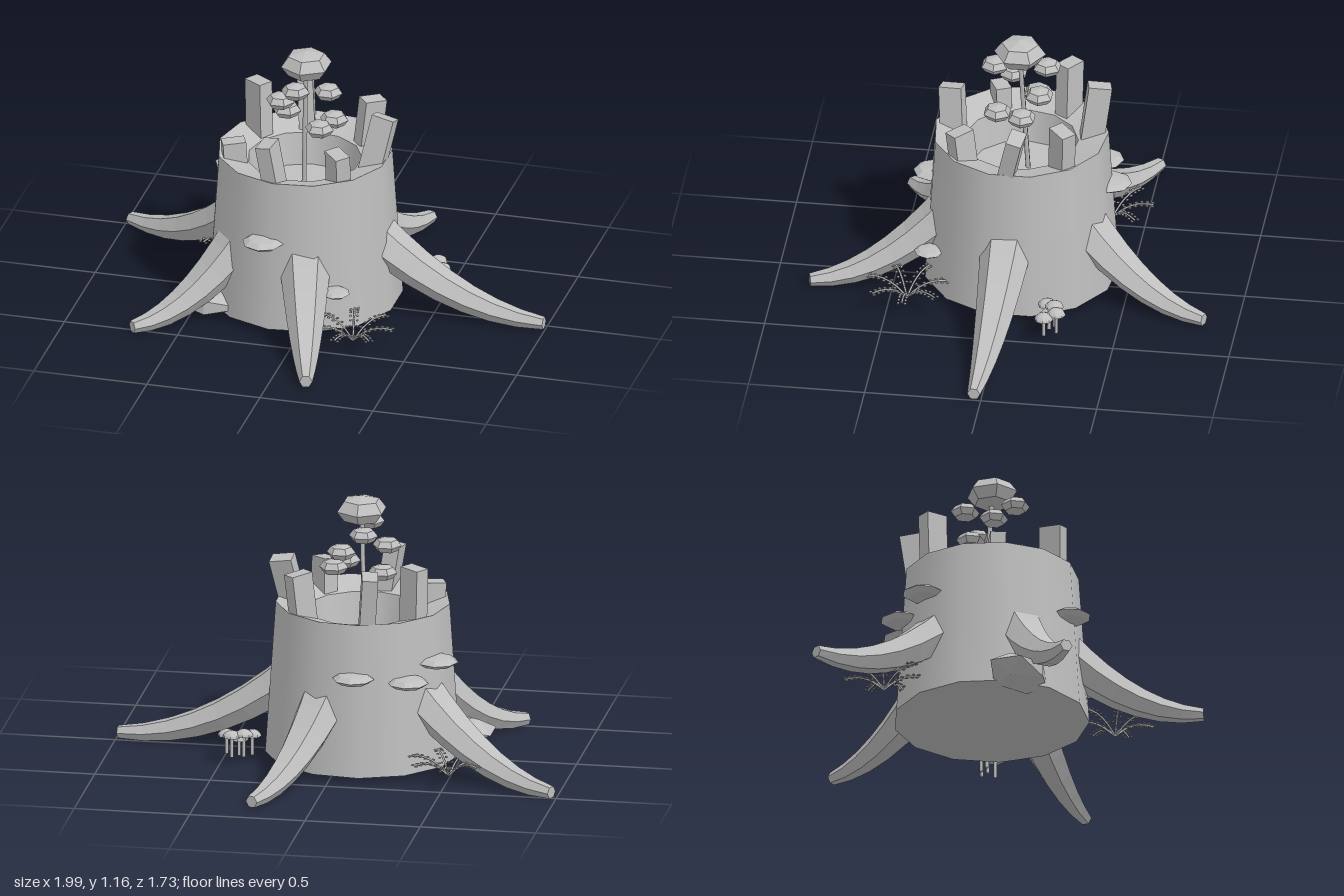
import * as THREE from 'three';

const CX = -0.08, CZ = -0.025; // stump axis
const rad = THREE.MathUtils.degToRad;

// faceted normals
function facet(geo) {
  const g = geo.index ? geo.toNonIndexed() : geo;
  g.computeVertexNormals();
  return g;
}

// hexagonal root running along local +x, curving down to the ground
function rootGeometry(length) {
  const pos = [], idx = [], steps = 7, start = 0.28, span = length - start;
  for (let i = 0; i <= steps; i++) {
    const s = i / steps, slope = -0.68 * (1 - s) / span;
    const n = new THREE.Vector2(-slope, 1).normalize();
    const r = 0.118 + (0.028 - 0.118) * s, v = 0.8 + 0.2 * s;
    const x = start + span * s, y = 0.033 + 0.34 * (1 - s) ** 2;
    for (let j = 0; j < 6; j++) {
      const a = j * Math.PI / 3, up = Math.sin(a) * r * v;
      pos.push(x + n.x * up, y + n.y * up, -Math.cos(a) * r);
    }
  }
  for (let i = 0; i < steps; i++) {
    for (let j = 0; j < 6; j++) {
      const a = i * 6 + j, b = i * 6 + (j + 1) % 6;
      idx.push(a, b, a + 6, b, b + 6, a + 6);
    }
  }
  const tip = steps * 6;
  for (let j = 1; j < 5; j++) idx.push(tip, tip + j, tip + j + 1);
  const g = new THREE.BufferGeometry();
  g.setAttribute('position', new THREE.Float32BufferAttribute(pos, 3));
  g.setIndex(idx);
  return facet(g);
}

export function createModel() {
  const model = new THREE.Group();
  const grey = new THREE.MeshStandardMaterial({ color: 0xbfbfbf });
  grey.name = 'plain grey';

  function add(name, geo, x = 0, y = 0, z = 0, parent = model) {
    const m = new THREE.Mesh(geo, grey);
    m.name = name;
    m.position.set(x, y, z);
    parent.add(m);
    return m;
  }
  function rod(name, a, b, r, parent = model) {
    const d = b.clone().sub(a);
    const m = add(name, new THREE.CylinderGeometry(r, r, d.length(), 5), 0, 0, 0, parent);
    m.position.copy(a).add(b).multiplyScalar(0.5);
    m.quaternion.setFromUnitVectors(new THREE.Vector3(0, 1, 0), d.normalize());
    return m;
  }

  // hollow stump: each profile segment is its own ring so edges stay sharp
  const profile = [[0, 0.03], [0.42, 0.03], [0.375, 0.7], [0.245, 0.66], [0.22, 0.52], [0, 0.52]]
    .map(p => new THREE.Vector2(...p));
  ['stumpBase', 'stumpWall', 'stumpRim', 'hollowWall', 'hollowFloor'].forEach((name, i) =>
    add(name, new THREE.LatheGeometry([profile[i], profile[i + 1]], 13, -Math.PI / 2), CX, 0, CZ));

  // roots: angle, length
  [[3, 1.075], [74.5, 0.91], [138, 0.825], [208, 1.02], [292, 0.9]].forEach(([a, len]) => {
    add('root', rootGeometry(len), CX, 0, CZ).rotation.y = -rad(a);
  });

  // splinters on the rim: angle, top height, outward lean, sideways lean
  [[5.5, 0.89, 0.17, -0.24], [46, 0.81, 0.08, 0.08], [99, 0.86, 0.08, 0.15], [156, 0.76, 0.06, 0],
    [215, 0.91, 0.03, 0], [257.5, 0.91, 0.14, -0.05], [317, 0.87, 0.1, 0.05]].forEach(([a, top, out, side]) => {
    const holder = new THREE.Group();
    holder.name = 'rimSplinter';
    holder.position.set(CX + 0.3 * Math.cos(rad(a)), 0.63, CZ + 0.3 * Math.sin(rad(a)));
    holder.rotation.y = -rad(a);
    model.add(holder);
    const h = top - 0.63;
    const box = add('splinter', new THREE.BoxGeometry(0.1, h, 0.068).translate(0, h / 2, 0), 0, 0, 0, holder);
    box.rotation.set(side, 0, -out);
  });

  // shelf fungi on the wall
  const shelf = facet(new THREE.SphereGeometry(0.09, 8, 4).scale(1, 0.28, 1));
  [[-0.16, 0.425, 0.36], [0.155, 0.215, 0.34], [-0.435, 0.5, -0.21], [-0.33, 0.44, -0.345], [-0.105, 0.465, -0.41]]
    .forEach(([x, y, z], i) => add('shelfFungus', shelf, x, y, z).scale.setScalar(i === 1 ? 0.7 : 1));

  // low rock beside the stump
  add('rock', facet(new THREE.IcosahedronGeometry(1, 0).scale(0.2, 0.06, 0.13)), -0.43, 0.063, 0.22);

  // small tree in the hollow
  rod('treeTrunk', new THREE.Vector3(-0.09, 0.52, -0.055), new THREE.Vector3(-0.073, 1.08, -0.022), 0.011);
  const crown = facet(new THREE.SphereGeometry(1, 6, 4));
  const topCrown = add('treeTop', crown, -0.072, 1.1, -0.022);
  topCrown.scale.set(0.112, 0.063, 0.112);
  topCrown.rotation.y = Math.PI / 2;
  [[-0.09, 1.02, 0.088], [-0.1, 1.02, -0.135], [0, 0.935, -0.115], [-0.175, 0.935, 0.02],
    [0.045, 0.845, -0.045], [-0.175, 0.845, -0.085], [0.01, 0.845, 0.065]].forEach(([x, y, z]) =>
    add('leafCluster', crown, x, y, z).scale.set(0.063, 0.035, 0.063));

  // mushroom patch
  const cap = facet(new THREE.SphereGeometry(0.04, 8, 4, 0, Math.PI * 2, 0, Math.PI / 2).scale(1, 0.7, 1));
  const capBase = new THREE.CircleGeometry(0.04, 8).rotateX(Math.PI / 2);
  [[0.37, 0.12, -0.2], [0.4, 0.13, -0.235], [0.45, 0.125, -0.25], [0.48, 0.115, -0.2], [0.425, 0.105, -0.215]]
    .forEach(([x, y, z]) => {
      add('mushroomCap', cap, x, y, z);
      add('mushroomUnderside', capBase, x, y, z);
      add('mushroomStem', new THREE.CylinderGeometry(0.008, 0.008, y - 0.035, 6), x, (y + 0.035) / 2, z);
    });

  // ferns: x, z, first angle
  const leaf = facet(new THREE.SphereGeometry(1, 5, 3).scale(0.009, 0.004, 0.007));
  [[0.255, 0.42, 0], [-0.51, -0.36, -93]].forEach(([x, z, first]) => {
    const fern = new THREE.Group();
    fern.name = 'fern';
    fern.position.set(x, 0, z);
    model.add(fern);
    for (let i = 0; i < 7; i++) {
      const frond = new THREE.Group();
      frond.name = 'frond';
      frond.rotation.y = -rad(first + i * 360 / 7);
      fern.add(frond);
      const pts = [[0, 0.04], [0.06, 0.09], [0.12, 0.112], [0.175, 0.11]].map(p => new THREE.Vector3(p[0], p[1], 0));
      const curve = new THREE.CatmullRomCurve3(pts);
      add('frondStem', new THREE.TubeGeometry(curve, 6, 0.005, 4), 0, 0, 0, frond);
      for (let k = 0; k < 6; k++) {
        const p = curve.getPoint(0.28 + k * 0.14);
        for (const s of [-1, 1]) add('leaflet', leaf, p.x, p.y, s * 0.015, frond);
      }
    }
  });

  return model;
}
